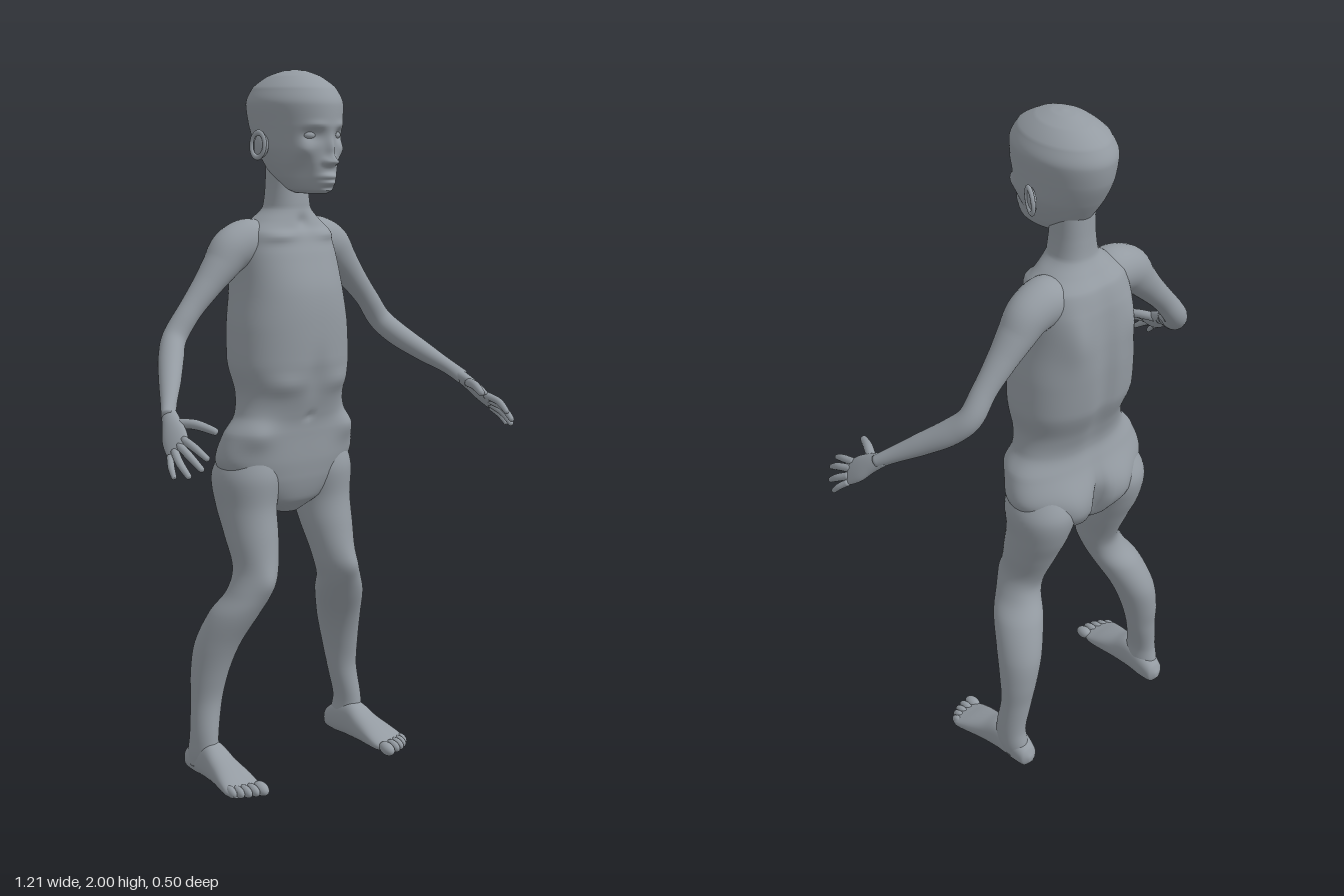
import * as THREE from 'three';

const skin = new THREE.MeshStandardMaterial({ color: 0x949ba2 });
skin.name = 'grey skin';
const X = (v, s) => [v[0] * s, ...v.slice(1)];

// Smooth skin over elliptical rings. Station: [x, y, z, radius along u, radius along v].
// 'axis' fixes the ring normal; otherwise rings follow the path.
function loft(stations, { ref = [0, 0, 1], axis = null, seg = 32, steps = 6, power = 1, side = 1 } = {}) {
  const st = stations.map(p => X(p, side));
  const path = new THREE.CatmullRomCurve3(st.map(p => new THREE.Vector3(p[0], p[1], p[2])));
  const size = new THREE.CatmullRomCurve3(st.map(p => new THREE.Vector3(p[3], p[4] ?? p[3], 0)));
  const r = new THREE.Vector3(...X(ref, side));
  const rows = (st.length - 1) * steps, pos = [], idx = [];
  const bend = c => Math.sign(c) * Math.abs(c) ** power;
  for (let i = 0; i <= rows; i++) {
    const c = path.getPoint(i / rows), s = size.getPoint(i / rows);
    const t = axis ? new THREE.Vector3(...axis) : path.getTangent(i / rows);
    const u = r.clone().cross(t).normalize(), v = t.clone().cross(u);
    for (let j = 0; j < seg; j++) {
      const a = j / seg * Math.PI * 2;
      const p = c.clone().addScaledVector(u, s.x * bend(Math.cos(a))).addScaledVector(v, s.y * bend(Math.sin(a)));
      pos.push(p.x, p.y, p.z);
    }
  }
  for (let i = 0; i < rows; i++) for (let j = 0; j < seg; j++) {
    const a = i * seg + j, b = i * seg + (j + 1) % seg;
    idx.push(a, b, b + seg, a, b + seg, a + seg);
  }
  // end caps
  const n = (rows + 1) * seg, last = rows * seg;
  pos.push(...path.getPoint(0).toArray(), ...path.getPoint(1).toArray());
  for (let j = 0; j < seg; j++) {
    const k = (j + 1) % seg;
    idx.push(n, k, j, n + 1, last + j, last + k);
  }
  const g = new THREE.BufferGeometry();
  g.setAttribute('position', new THREE.Float32BufferAttribute(pos, 3));
  g.setIndex(idx);
  g.computeVertexNormals();
  return g;
}

// Soft pushes: [x, y, z, rx, ry, rz, dx, dy, dz]; those off the middle act on both sides.
function sculpt(g, pushes) {
  const P = g.attributes.position, p = new THREE.Vector3();
  const all = pushes.flatMap(b => b[0] ? [b, [-b[0], ...b.slice(1, 6), -b[6], b[7], b[8]]] : [b]);
  for (let i = 0; i < P.count; i++) {
    p.fromBufferAttribute(P, i);
    const q = p.clone();
    for (const [x, y, z, rx, ry, rz, dx, dy, dz] of all) {
      const w = Math.exp(-(((p.x - x) / rx) ** 2) - ((p.y - y) / ry) ** 2 - ((p.z - z) / rz) ** 2);
      q.x += dx * w; q.y += dy * w; q.z += dz * w;
    }
    P.setXYZ(i, q.x, q.y, q.z);
  }
  g.computeVertexNormals();
  return g;
}

// Horizontal slice given as height, front z, back z, half width
const slice = ([y, f, b, w]) => [0, y, (f + b) / 2, w, (f - b) / 2];

export function createModel() {
  const model = new THREE.Group();
  model.name = 'figure';
  const add = (name, geo, parent = model) => {
    const m = new THREE.Mesh(geo, skin);
    m.name = name;
    parent.add(m);
    return m;
  };
  const blob = (name, parent, p, s, rot = [0, 0, 0]) => {
    const m = add(name, new THREE.SphereGeometry(1, 24, 16), parent);
    m.position.set(...p); m.scale.set(...s); m.rotation.set(...rot);
    return m;
  };

  // Torso and neck
  const torso = loft([
    [0.757, -0.08, -0.15, 0.035], [0.80, -0.04, -0.20, 0.12], [0.865, -0.02, -0.225, 0.195],
    [0.93, -0.012, -0.225, 0.228], [1.0, -0.008, -0.20, 0.212], [1.05, 0, -0.19, 0.178],
    [1.11, 0.018, -0.205, 0.168], [1.2, 0.04, -0.24, 0.181], [1.3, 0.042, -0.25, 0.176],
    [1.4, 0.035, -0.25, 0.16], [1.5, 0.005, -0.238, 0.15], [1.56, -0.018, -0.22, 0.135],
    [1.59, -0.03, -0.195, 0.10], [1.625, -0.04, -0.17, 0.064], [1.68, -0.045, -0.163, 0.057],
    [1.75, -0.05, -0.16, 0.055],
  ].map(slice), { axis: [0, 1, 0], seg: 96, steps: 7, power: 0.88 });
  add('torso', sculpt(torso, [
    [0.09, 0.87, -0.22, 0.06, 0.07, 0.06, 0, 0, -0.022],     // buttocks
    [0, 0.85, -0.23, 0.018, 0.08, 0.08, 0, 0, 0.04],         // cleft
    [0, 1.28, -0.25, 0.03, 0.24, 0.08, 0, 0, 0.016],         // spine furrow
    [0.1, 1.44, -0.23, 0.04, 0.08, 0.06, 0, 0, -0.014],      // shoulder blades
    [0.16, 1.0, -0.03, 0.05, 0.04, 0.06, 0.005, 0, 0.016],   // hip bones
    [0.11, 1.14, 0.02, 0.07, 0.03, 0.06, 0, 0, 0.012],       // rib edge
    [0, 1.16, 0.03, 0.03, 0.06, 0.05, 0, 0, -0.008],
    [0, 1.045, 0, 0.012, 0.012, 0.04, 0, 0, -0.008],         // navel
    [0.09, 1.55, -0.03, 0.06, 0.014, 0.05, 0, 0, 0.012],     // collarbones
    [0, 1.585, -0.03, 0.02, 0.02, 0.04, 0, 0, -0.01],
  ]));

  // Head with sculpted face
  const head = new THREE.Group();
  head.name = 'head';
  model.add(head);
  const skull = loft([
    [1.667, 0.062, -0.06, 0.026], [1.677, 0.08, -0.09, 0.044], [1.71, 0.086, -0.14, 0.066],
    [1.75, 0.086, -0.17, 0.085], [1.79, 0.086, -0.195, 0.099], [1.85, 0.092, -0.222, 0.108],
    [1.905, 0.09, -0.229, 0.115], [1.95, 0.066, -0.208, 0.098], [1.982, 0.014, -0.155, 0.062],
    [1.996, -0.03, -0.105, 0.026], [1.9995, -0.062, -0.07, 0.004],
  ].map(slice), { axis: [0, 1, 0], seg: 144, steps: 10 });
  add('skull', sculpt(skull, [
    [0.046, 1.824, 0.08, 0.026, 0.018, 0.04, 0, 0, -0.018],  // eye sockets
    [0.045, 1.85, 0.08, 0.03, 0.01, 0.03, 0, 0, 0.006],      // brows
    [0, 1.785, 0.09, 0.012, 0.03, 0.04, 0, 0, 0.013],        // nose bridge
    [0, 1.757, 0.09, 0.014, 0.012, 0.04, 0, -0.004, 0.024],  // nose tip
    [0.015, 1.753, 0.085, 0.009, 0.009, 0.03, 0.002, 0, 0.012],
    [0, 1.714, 0.088, 0.026, 0.007, 0.03, 0, 0, 0.015],      // lips
    [0, 1.697, 0.086, 0.022, 0.007, 0.03, 0, 0, 0.013],
    [0, 1.683, 0.083, 0.02, 0.006, 0.03, 0, 0, -0.005],
    [0.06, 1.785, 0.05, 0.02, 0.02, 0.03, 0.005, 0, 0.006],  // cheekbones
    [0.058, 1.735, 0.03, 0.02, 0.03, 0.04, -0.006, 0, -0.004],
  ]), head);

  for (const s of [1, -1]) {
    const L = s > 0 ? 'left' : 'right';

    // Eyes and ears
    blob(L + 'Eye', head, [0.045 * s, 1.824, 0.052], [0.019, 0.011, 0.013], [0, 0.35 * s, 0]);
    blob(L + 'Ear', head, [0.111 * s, 1.795, -0.075], [0.01, 0.034, 0.023], [0.15, -0.35 * s, 0]);
    const rim = add(L + 'EarRim', new THREE.TorusGeometry(0.025, 0.006, 10, 28), head);
    rim.position.set(0.12 * s, 1.797, -0.078);
    rim.rotation.set(0.15, Math.PI / 2 - 0.35 * s, 0);
    rim.scale.set(0.85, 1.35, 1);

    // Arm
    const arm = new THREE.Group();
    arm.name = L + 'Arm';
    model.add(arm);
    add(L + 'ArmSkin', loft([
      [0.06, 1.53, -0.13, 0.05, 0.06], [0.12, 1.53, -0.13, 0.066, 0.066], [0.175, 1.51, -0.13, 0.062, 0.06],
      [0.215, 1.468, -0.13, 0.05, 0.052], [0.26, 1.418, -0.13, 0.04, 0.042], [0.325, 1.345, -0.13, 0.033, 0.033],
      [0.372, 1.282, -0.128, 0.034, 0.034], [0.405, 1.24, -0.095, 0.034, 0.036],
      [0.455, 1.188, -0.03, 0.029, 0.031], [0.505, 1.14, 0.035, 0.021, 0.022], [0.53, 1.112, 0.07, 0.022, 0.018],
    ], { side: s }), arm);

    // Hand
    const ref = [-0.78, -0.6, -0.16];
    add(L + 'Palm', loft([
      [0.518, 1.126, 0.05, 0.018, 0.017], [0.535, 1.097, 0.09, 0.028, 0.017],
      [0.55, 1.067, 0.125, 0.037, 0.015], [0.56, 1.045, 0.152, 0.035, 0.011], [0.562, 1.04, 0.16, 0.028, 0.006],
    ], { ref, side: s, seg: 24 }), arm);
    const digits = {
      Index: [[0.543, 1.067, 0.155], [0.545, 1.054, 0.205], [0.536, 1.03, 0.248]],
      Middle: [[0.555, 1.053, 0.152], [0.562, 1.035, 0.205], [0.555, 1.005, 0.25]],
      Ring: [[0.567, 1.039, 0.148], [0.58, 1.015, 0.19], [0.578, 0.986, 0.226]],
      Little: [[0.577, 1.026, 0.142], [0.592, 1.003, 0.168], [0.597, 0.98, 0.188]],
      Thumb: [[0.528, 1.1, 0.095], [0.5, 1.1, 0.15], [0.476, 1.086, 0.203]],
    };
    for (const [name, [a, b, c]] of Object.entries(digits)) {
      const k = name === 'Thumb' ? 1.25 : name === 'Little' ? 0.85 : 1;
      const tip = c.map((v, i) => v + (c[i] - b[i]) * 0.08);
      add(L + name + 'Finger', loft([
        [...a, 0.011 * k], [...b, 0.0105 * k], [...c, 0.0075 * k], [...tip, 0.002],
      ], { ref, side: s, seg: 14, steps: 5 }), arm);
    }

    // Leg
    const leg = new THREE.Group();
    leg.name = L + 'Leg';
    model.add(leg);
    const limb = loft([
      [0.125, 0.95, -0.12, 0.075, 0.08], [0.13, 0.87, -0.128, 0.096, 0.108], [0.136, 0.79, -0.122, 0.082, 0.098],
      [0.138, 0.705, -0.096, 0.073, 0.086], [0.145, 0.61, -0.07, 0.06, 0.074], [0.167, 0.545, -0.074, 0.062, 0.072],
      [0.195, 0.485, -0.103, 0.069, 0.077], [0.228, 0.39, -0.143, 0.062, 0.071], [0.246, 0.3, -0.158, 0.052, 0.058],
      [0.256, 0.22, -0.16, 0.044, 0.047], [0.271, 0.12, -0.152, 0.037, 0.05], [0.27, 0.07, -0.155, 0.038, 0.058],
      [0.268, 0.03, -0.165, 0.034, 0.05],
    ].reverse(), { axis: [0, 1, 0], side: s, seg: 48 });
    add(L + 'LegSkin', sculpt(limb, [
      [0.155, 0.585, 0, 0.035, 0.04, 0.04, 0, 0, 0.012],     // kneecap
      [0.15, 0.575, -0.14, 0.05, 0.04, 0.04, 0, 0, 0.01],    // hollow of the knee
    ]), leg);

    // Foot
    add(L + 'Foot', loft([
      [0.265, 0.034, -0.236, 0.008, 0.01], [0.265, 0.037, -0.222, 0.028, 0.032], [0.266, 0.05, -0.175, 0.037, 0.05],
      [0.268, 0.056, -0.115, 0.04, 0.056], [0.271, 0.042, -0.055, 0.047, 0.042], [0.275, 0.03, 0, 0.056, 0.03],
      [0.278, 0.022, 0.035, 0.058, 0.021], [0.278, 0.018, 0.062, 0.048, 0.013],
    ], { axis: [0, 0, 1], ref: [0, 1, 0], side: s, power: 0.85 }), leg);
    [[0.237, 0.072, 0.018, 0.029], [0.264, 0.07, 0.0125, 0.028], [0.285, 0.064, 0.012, 0.027],
      [0.304, 0.055, 0.0115, 0.025], [0.321, 0.042, 0.0115, 0.023]].forEach(([x, z, w, l], i) =>
      blob(L + 'Toe' + (i + 1), leg, [x * s, i ? 0.023 : 0.021, z], [w, i ? 0.016 : 0.019, l], [0.2, 0, 0]));
  }
  return model;
}
